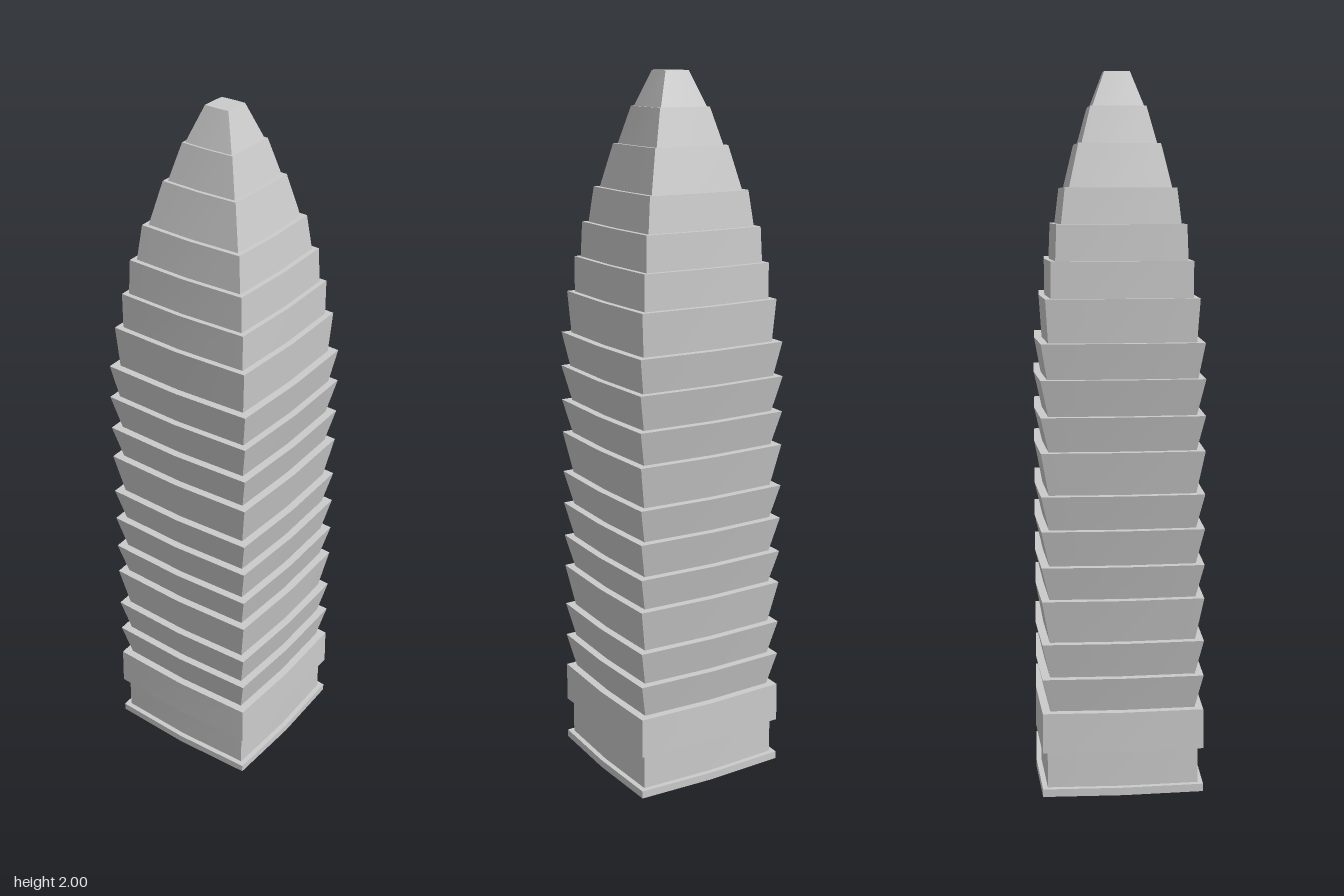
import * as THREE from 'three';
import { toCreasedNormals } from 'three/addons/utils/BufferGeometryUtils.js';

const material = new THREE.MeshStandardMaterial({ color: 0xcccccc, side: THREE.DoubleSide });

// Bowed square outline, seen as [x, z] for a half width of 1, running from the front corner
const OUTLINE = [[0.966, 0.945], [1, 0], [0.966, -0.945], [0, -0.983],
  [-0.966, -0.945], [-1, 0], [-0.966, 0.945], [0, 0.983]];

// Joins rings of the form { y, w, lift }; lift raises the middle of the +x side
function loft(name, rings) {
  const pos = [];
  const point = ({ y, w, lift = 0 }, i) => {
    const k = i % OUTLINE.length;
    return [OUTLINE[k][0] * w, y + (k === 1 ? lift : 0), OUTLINE[k][1] * w];
  };
  for (let r = 0; r < rings.length - 1; r++) {
    for (let i = 0; i < OUTLINE.length; i++) {
      const a = point(rings[r], i), b = point(rings[r], i + 1);
      const c = point(rings[r + 1], i + 1), d = point(rings[r + 1], i);
      pos.push(...a, ...b, ...c);
      if (rings[r + 1].w > 0) pos.push(...a, ...c, ...d);
    }
  }
  const geo = new THREE.BufferGeometry();
  geo.setAttribute('position', new THREE.Float32BufferAttribute(pos, 3));
  geo.computeVertexNormals();
  const mesh = new THREE.Mesh(toCreasedNormals(geo, 0.2), material);
  mesh.name = name;
  return mesh;
}

export function createModel() {
  const group = new THREE.Group();
  group.name = 'tower';

  // Each storey: bottom height, half width at its bottom and at its top
  const storeys = [
    ['foot', 0, 0.239, 0.239],
    ['baseWall', 0.022, 0.224, 0.224],
    ['belt', 0.127, 0.239, 0.238],
    ...[0.241, 0.339, 0.439, 0.561, 0.656, 0.757, 0.854, 0.974, 1.071]
      .map((y) => ['flaredTier', y, 0.215, 0.238]),
    ['flaredTier', 1.172, 0.218, 0.236],
    ['upperTier', 1.27, 0.214, 0.222],
    ['upperTier', 1.389, 0.205, 0.205],
    ['upperTier', 1.489, 0.191, 0.187],
    ['crownTier', 1.587, 0.173, 0.161],
    ['crownTier', 1.685, 0.148, 0.119],
    ['crownTier', 1.804, 0.109, 0.081],
    ['tip', 1.905, 0.075, 0.0375],
  ];

  // Every storey is a wall plus the ledge leading to the storey above
  storeys.forEach(([name, y, bottom, top], i) => {
    const next = storeys[i + 1];
    const yTop = next ? next[1] : 2;
    group.add(loft(name, [
      { y, w: bottom, lift: name === 'belt' ? 0.013 : 0 },
      { y: yTop, w: top },
      // The ledge under the belt follows its raised middle; the tip closes flat
      { y: yTop, w: next ? next[2] : 0, lift: next && next[0] === 'belt' ? 0.013 : 0 },
    ]));
  });
  return group;
}
